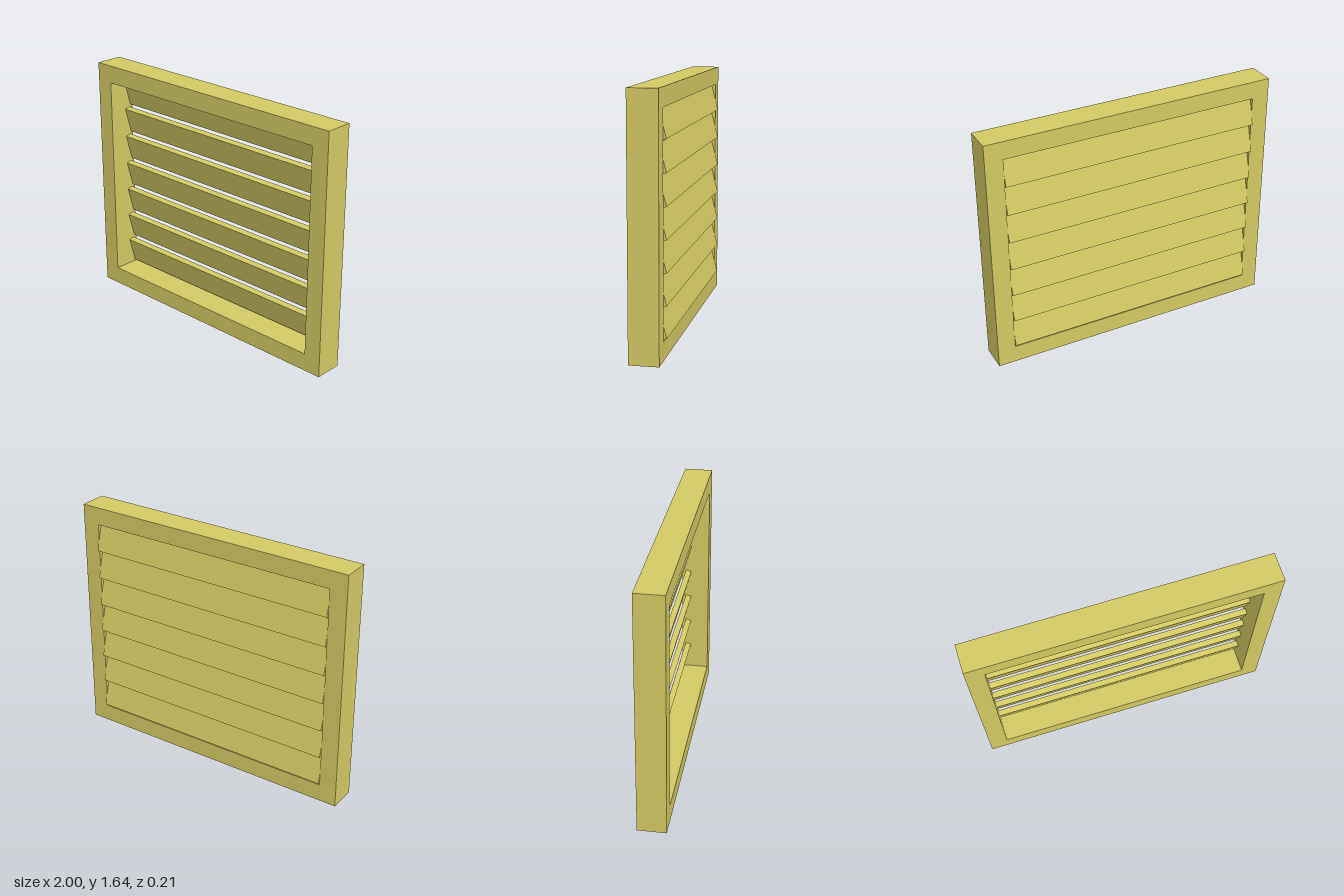
import * as THREE from 'three';

export function createModel() {
  const model = new THREE.Group();
  model.name = 'louverPanel';
  const paint = new THREE.MeshStandardMaterial({ color: 0xd2c863 });
  paint.name = 'mustardPaint';

  const height = 1.642, border = 0.12, inner = 1 - border;
  const back = -0.085, front = 0.105;

  // Rectangular frame with an open centre
  const outline = new THREE.Shape([
    new THREE.Vector2(-1, 0), new THREE.Vector2(1, 0),
    new THREE.Vector2(1, height), new THREE.Vector2(-1, height),
  ]);
  outline.holes.push(new THREE.Path([
    new THREE.Vector2(-inner, border), new THREE.Vector2(-inner, height - border),
    new THREE.Vector2(inner, height - border), new THREE.Vector2(inner, border),
  ]));
  const frameGeometry = new THREE.ExtrudeGeometry(outline, { depth: front - back, bevelEnabled: false });
  frameGeometry.translate(0, 0, back);
  const frame = new THREE.Mesh(frameGeometry, paint);
  frame.name = 'frame';
  model.add(frame);

  // Seven slats, with lower edges tilted out through the back
  const slats = new THREE.Group();
  slats.name = 'slats';
  const slatGeometry = new THREE.BoxGeometry(inner * 2, 0.18, 0.04);
  for (let i = 0; i < 7; i++) {
    const slat = new THREE.Mesh(slatGeometry, paint);
    slat.name = `slat${i + 1}`;
    slat.position.set(0, 0.222 + i * 0.2, -0.0624);
    slat.rotation.x = THREE.MathUtils.degToRad(15);
    slats.add(slat);
  }
  model.add(slats);
  return model;
}
